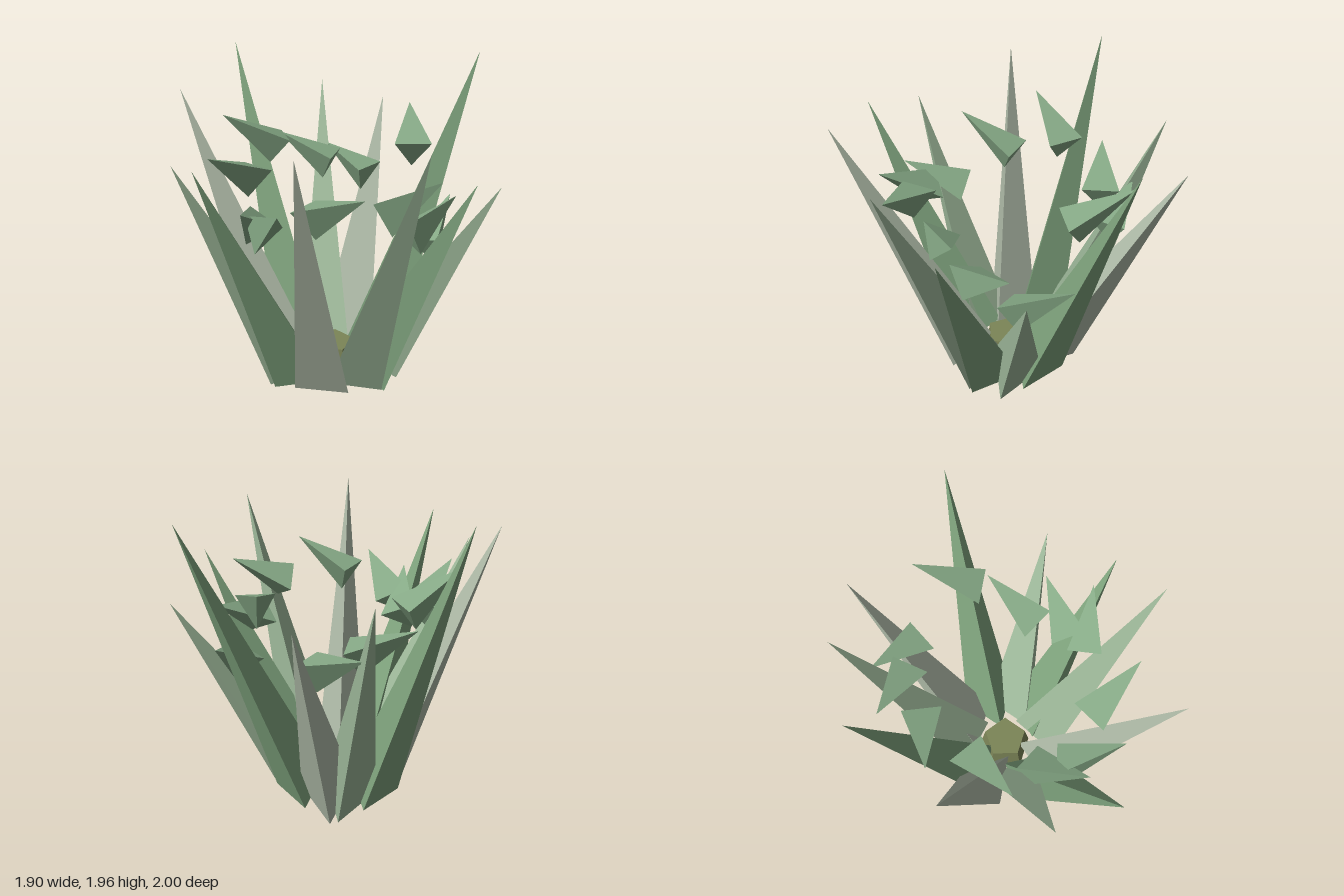
import * as THREE from 'three';

const CX = -0.045; // middle of the clump in x

const paint = (color) => new THREE.MeshStandardMaterial({ color, flatShading: true });

// Three-sided spike from a base centre to a tip. One flat side faces `side`;
// roll (degrees) turns the spike about its own axis.
function spike(name, base, tip, radius, side, roll, material) {
  const axis = tip.clone().sub(base);
  const length = axis.length();
  axis.normalize();
  const z = side.clone().addScaledVector(axis, -side.dot(axis)).normalize();
  const x = new THREE.Vector3().crossVectors(axis, z);
  const start = Math.PI - THREE.MathUtils.degToRad(roll);
  const geometry = new THREE.ConeGeometry(radius, length, 3, 1, false, start);
  geometry.translate(0, length / 2, 0);
  geometry.applyMatrix4(new THREE.Matrix4().makeBasis(x, axis, z).setPosition(base));
  const mesh = new THREE.Mesh(geometry, material);
  mesh.name = name;
  return mesh;
}

export function createModel() {
  const plant = new THREE.Group();
  plant.name = 'spikyPlant';
  const greens = [paint(0x7fa37d), paint(0x9cb698), paint(0xafbba8)];
  const frondGreen = paint(0x86a986);

  // Five-sided stump in the middle
  const stump = new THREE.Mesh(
    new THREE.CylinderGeometry(0.14, 0.17, 0.2, 5, 1, false, Math.PI), paint(0x7c8557));
  stump.position.set(CX, 0.1, 0);
  stump.name = 'stump';
  plant.add(stump);

  // Long outer blades: tip x, y, z and roll
  const blades = [
    [0.805, 1.455, 0.415, -40],
    [0.565, 1.72, 0.73, 30],
    [-0.08, 1.755, 1.0, 0],
    [-0.64, 1.605, 0.825, -36],
    [-0.85, 1.52, 0.525, 48],
    [-0.955, 1.785, -0.07, 20],
    [-0.745, 1.955, -0.61, 0],
    [-0.245, 1.645, -0.94, -35],
    [0.16, 1.53, -1.0, 45],
    [0.785, 1.945, -0.60, 0],
    [0.95, 1.275, -0.04, -33],
  ];
  const bladeGroup = new THREE.Group();
  bladeGroup.name = 'blades';
  blades.forEach(([x, y, z, roll], i) => {
    const out = new THREE.Vector3(x - CX, 0, z).normalize();
    const base = out.clone().multiplyScalar(0.27).add(new THREE.Vector3(CX, 0.09, 0));
    bladeGroup.add(spike('blade', base, new THREE.Vector3(x, y, z), 0.19, out, roll, greens[i % 3]));
  });
  plant.add(bladeGroup);

  // Short fronds hovering in a swirl between the blades: base centre, tip, roll
  const fronds = [
    [0.53, 0.89, 0.02, 0.65, 1.11, -0.33, 20],
    [0.43, 1.07, 0.27, 0.69, 1.235, 0.03, 30],
    [0.29, 1.24, 0.41, 0.62, 1.425, 0.33, 30],
    [-0.10, 1.26, 0.53, 0.235, 1.445, 0.71, 0],
    [-0.38, 1.12, 0.45, -0.22, 1.345, 0.76, 25],
    [-0.43, 1.08, 0.27, -0.45, 1.29, 0.62, 30],
    [-0.52, 1.26, -0.06, -0.72, 1.47, 0.255, 0],
    [-0.42, 1.37, -0.36, -0.745, 1.59, -0.215, 0],
    [-0.13, 1.20, -0.56, -0.48, 1.375, -0.61, 0],
    [0.10, 1.12, -0.58, -0.195, 1.265, -0.765, 0],
    [0.41, 1.38, -0.31, 0.36, 1.585, -0.675, 0],
  ];
  const frondGroup = new THREE.Group();
  frondGroup.name = 'fronds';
  const up = new THREE.Vector3(0, 1, 0);
  for (const f of fronds) {
    frondGroup.add(spike('frond', new THREE.Vector3(...f.slice(0, 3)),
      new THREE.Vector3(...f.slice(3, 6)), 0.13, up, f[6], frondGreen));
  }
  plant.add(frondGroup);

  return plant;
}
